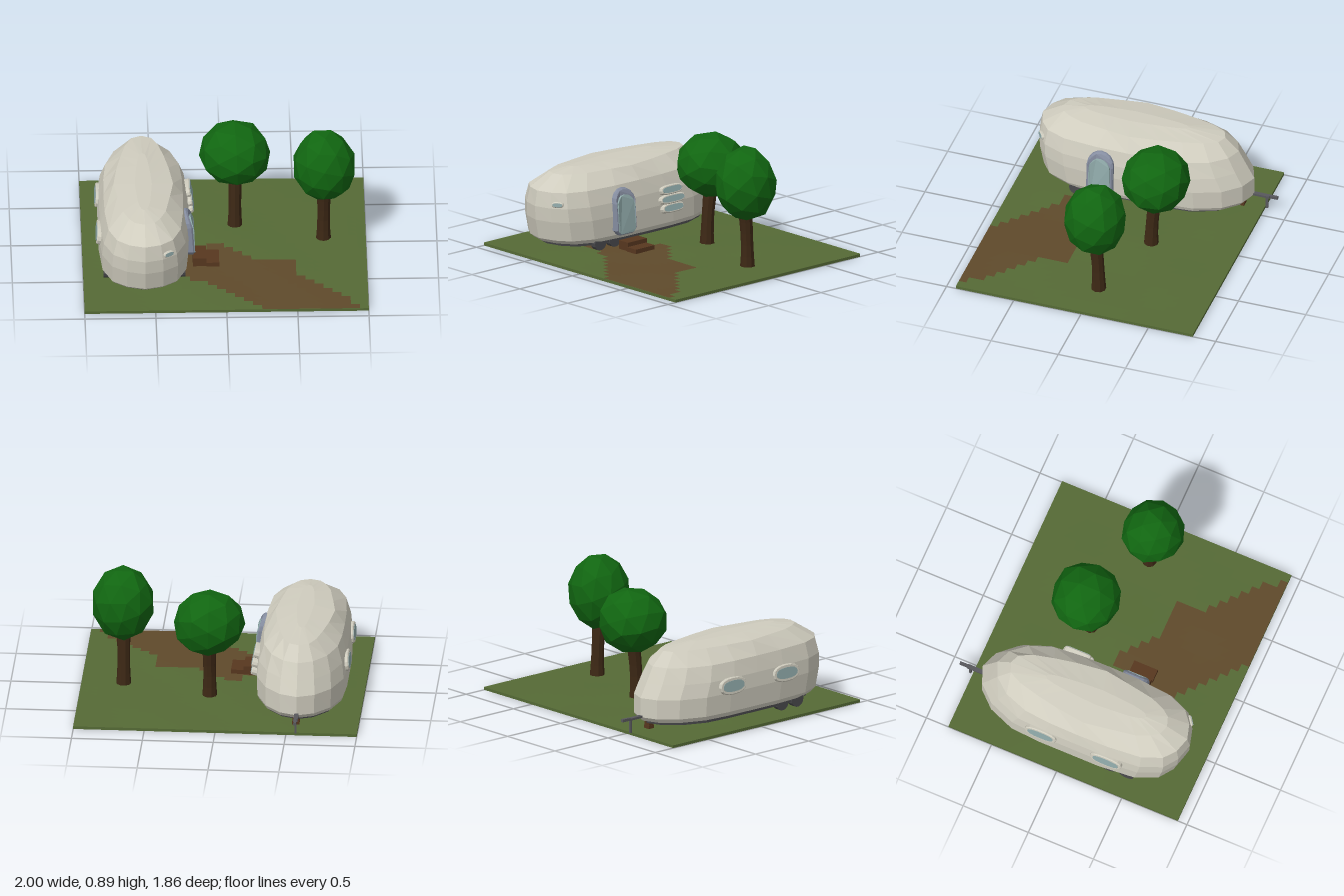
import * as THREE from 'three';
import { mergeVertices } from 'three/addons/utils/BufferGeometryUtils.js';

const mat = (color) => new THREE.MeshStandardMaterial({ color, flatShading: true, roughness: 0.9 });
const M = {
  grass: mat(0x556a35), path: mat(0x5f4a2b), leaf: mat(0x116611), bark: mat(0x3d2815), shell: mat(0xcfccbe),
  dark: mat(0x58585c), tyre: mat(0x4a4a4d), wood: mat(0x57371f), door: mat(0x858da0), glass: mat(0x8fa9a9),
};
const CX = -0.57; // centre line of the caravan

function add(parent, name, geo, material, x = 0, y = 0, z = 0) {
  const m = new THREE.Mesh(geo, material);
  m.name = name;
  m.position.set(x, y, z);
  parent.add(m);
  return m;
}
const box = (parent, name, material, w, h, d, x, y, z) => add(parent, name, new THREE.BoxGeometry(w, h, d), material, x, y, z);

function meshFrom(pos, idx) {
  const g = new THREE.BufferGeometry();
  g.setAttribute('position', new THREE.Float32BufferAttribute(pos, 3));
  if (idx) g.setIndex(idx);
  g.computeVertexNormals();
  return g;
}

// Half plan outlines, front to back: full sides and tapered roof
const FULL = [[0, 1], [0.4, 0.955], [0.72, 0.86], [0.93, 0.66], [1, 0.32], [1, 0], [1, -0.28], [0.95, -0.55], [0.72, -0.79], [0.38, -0.94], [0, -1]];
const TAPER = [[0, 1], [0.33, 0.96], [0.52, 0.87], [0.72, 0.7], [0.88, 0.36], [1, 0.08], [0.87, -0.28], [0.72, -0.55], [0.55, -0.79], [0.33, -0.95], [0, -1]];

// Stacks plan rings [y, front z, back z, half width, taper] and caps both ends
function hull(rings) {
  const pos = [], idx = [], n = 20;
  for (const [y, zf, zb, hw, t] of rings) {
    for (let i = 0; i < n; i++) {
      const k = i <= 10 ? i : n - i, s = i <= 10 ? 1 : -1;
      const u = THREE.MathUtils.lerp(FULL[k][0], TAPER[k][0], t);
      const v = THREE.MathUtils.lerp(FULL[k][1], TAPER[k][1], t);
      pos.push(CX + s * u * hw, y, (zf + zb) / 2 + v * (zf - zb) / 2);
    }
  }
  const last = (rings.length - 1) * n, c = rings.length * n;
  for (const r of [rings[0], rings[rings.length - 1]]) pos.push(CX, r[0], (r[1] + r[2]) / 2);
  for (let i = 0; i < n; i++) {
    const j = (i + 1) % n;
    for (let r = 0; r < last; r += n) idx.push(r + i, r + j, r + n + i, r + j, r + n + j, r + n + i);
    idx.push(j, i, c, last + i, last + j, c + 1);
  }
  return meshFrom(pos, idx);
}

// Rounded outline: power 2 is an ellipse, higher is boxier
function oval(hw, hh, power = 2, n = 16) {
  const f = (c) => Math.sign(c) * Math.abs(c) ** (2 / power);
  return new THREE.Shape(Array.from({ length: n }, (_, i) => {
    const a = (i / n) * Math.PI * 2;
    return new THREE.Vector2(hw * f(Math.cos(a)), hh * f(Math.sin(a)));
  }));
}

// Arched doorway outline with clipped lower corners
function arch(hw, y0, y1, c) {
  const pts = [[-hw + c, y0], [hw - c, y0], [hw, y0 + c]].map((p) => new THREE.Vector2(...p));
  for (let i = 0; i <= 8; i++) {
    const a = (i / 8) * Math.PI;
    pts.push(new THREE.Vector2(hw * Math.cos(a), y1 - hw + hw * Math.sin(a)));
  }
  pts.push(new THREE.Vector2(-hw, y0 + c));
  return new THREE.Shape(pts);
}

// Slab whose outer face lies near z = 0
function slab(shape, depth, bevel) {
  const g = new THREE.ExtrudeGeometry(shape, { depth, bevelEnabled: bevel > 0, bevelSize: bevel, bevelThickness: bevel, bevelSegments: 1, curveSegments: 6 });
  return g.translate(0, 0, -depth - bevel);
}

function windowUnit(parent, name, hw, hh, power, rim, depth, pos, yaw, tilt) {
  const g = new THREE.Group();
  g.name = name;
  add(g, 'windowFrame', slab(oval(hw - 0.006, hh - 0.006, power), depth, 0.006), M.shell);
  add(g, 'windowPane', slab(oval(hw - rim, hh - rim, power), 0.008, 0), M.glass, 0, 0, 0.003);
  g.position.set(...pos);
  g.rotation.set(tilt, yaw, 0, 'YXZ');
  parent.add(g);
}

// Gently rolling lawn height, flat at the border
function height(x, z) {
  const edge = Math.max(0, (1 - x * x) * (1 - ((z - 0.05) / 0.88) ** 2));
  return 0.022 + 0.011 * edge * (0.6 + 0.4 * Math.sin(x * 7 + 1) * Math.cos(z * 5));
}

function ground(root) {
  box(root, 'groundSlab', M.grass, 2, 0.02, 1.76, 0, 0.01, 0.05);
  // Path extents per lawn row, in columns, starting at row 16
  const rows = [[14, 16], [14, 17], [9, 18], [9, 19], [9, 24], [9, 24], [9, 24], [9, 24], [12, 25], [14, 26], [15, 27], [16, 28], [17, 29], [18, 30], [19, 30], [20, 31]];
  const lawn = [], path = [];
  for (let r = 0; r < 32; r++) for (let c = 0; c < 32; c++) {
    const span = rows[r - 16], out = span && c >= span[0] && c < span[1] ? path : lawn;
    for (const [a, b] of [[0, 0], [0, 1], [1, 1], [0, 0], [1, 1], [1, 0]]) {
      const x = -1 + (c + a) / 16, z = -0.83 + (r + b) * 0.055;
      out.push(x, height(x, z), z);
    }
  }
  add(root, 'lawn', meshFrom(lawn), M.grass);
  add(root, 'dirtPath', meshFrom(path), M.path);
}

function tree(root, name, trunk, crown, size, seed) {
  const g = new THREE.Group();
  g.name = name;
  // Trunk flares at the foot and leans toward the crown
  const t = new THREE.CylinderGeometry(1, 1, 1, 9, 5), p = t.attributes.position;
  for (let i = 0; i < p.count; i++) {
    const h = p.getY(i) + 0.5, r = 0.04 + 0.014 * (1 - h) ** 3 + 0.012 * h * h;
    p.setXYZ(i, trunk[0] + p.getX(i) * r + (crown[0] - trunk[0]) * h * h, 0.015 + 0.42 * h, trunk[1] + p.getZ(i) * r + (crown[2] - trunk[1]) * h * h);
  }
  add(g, 'trunk', t, M.bark);
  let leaf = new THREE.IcosahedronGeometry(1, 1);
  leaf.deleteAttribute('uv');
  leaf.deleteAttribute('normal');
  leaf = mergeVertices(leaf, 1e-3).rotateY(seed).rotateX(seed * 0.7);
  const q = leaf.attributes.position;
  for (let i = 0; i < q.count; i++) {
    const k = 1 + 0.03 * Math.sin(i * 12.9 + seed * 7);
    q.setXYZ(i, q.getX(i) * k * size[0], q.getY(i) * k * size[1], q.getZ(i) * k * size[2]);
  }
  leaf.computeVertexNormals();
  add(g, 'foliage', leaf, M.leaf, ...crown);
  root.add(g);
}

function caravan(root) {
  const g = new THREE.Group();
  g.name = 'caravan';
  add(g, 'bodyShell', hull([
    [0.09, 0.76, -0.73, 0.305, 0], [0.12, 0.8, -0.755, 0.317, 0], [0.26, 0.83, -0.755, 0.322, 0], [0.36, 0.835, -0.7, 0.31, 0],
    [0.47, 0.815, -0.64, 0.28, 0.1], [0.565, 0.66, -0.54, 0.21, 1], [0.588, 0.5, -0.27, 0.06, 1],
  ]), M.shell);
  add(g, 'chassis', hull([[0.065, 0.72, -0.69, 0.285, 0], [0.1, 0.74, -0.71, 0.295, 0]]), M.dark);

  // Twin axles
  for (const z of [0.47, 0.33]) {
    for (const s of [-1, 1]) add(g, 'wheel', new THREE.CylinderGeometry(0.055, 0.055, 0.045, 14).rotateZ(Math.PI / 2), M.tyre, CX + s * 0.265, 0.08, z);
    add(g, 'axle', new THREE.CylinderGeometry(0.012, 0.012, 0.5, 8).rotateZ(Math.PI / 2), M.dark, CX, 0.075, z);
  }

  // Tow bar, jack leg and support blocks
  box(g, 'towBar', M.dark, 0.03, 0.016, 0.2, CX, 0.125, -0.77);
  box(g, 'towCoupling', M.dark, 0.02, 0.02, 0.07, CX, 0.127, -0.895);
  box(g, 'jackLeg', M.dark, 0.016, 0.1, 0.016, CX, 0.075, -0.85);
  box(g, 'supportBlock', M.wood, 0.05, 0.025, 0.05, CX + 0.01, 0.035, -0.665);
  box(g, 'supportBlock', M.wood, 0.045, 0.025, 0.045, CX + 0.01, 0.06, -0.665);

  // Door curves inward with the wall near its top
  const door = new THREE.Group();
  door.name = 'door';
  for (const [name, geo, m, z] of [
    ['doorFrame', slab(arch(0.088, 0.132, 0.442, 0.03), 0.07, 0.01), M.door, 0],
    ['doorPane', slab(arch(0.079, 0.132, 0.407, 0.02), 0.02, 0), M.glass, 0.004],
  ]) {
    const p = geo.attributes.position;
    for (let i = 0; i < p.count; i++) p.setZ(i, p.getZ(i) - 1.3 * Math.max(0, p.getY(i) - 0.25) ** 2);
    geo.computeVertexNormals();
    add(door, name, geo, m, 0, 0, z);
  }
  door.position.set(-0.213, 0, 0.28);
  door.rotation.y = Math.PI / 2;
  g.add(door);

  // Louvred window, side windows and small nose window
  for (const [y, hw, x] of [[0.365, 0.1, -0.232], [0.3, 0.115, -0.22], [0.235, 0.1, -0.215]]) {
    windowUnit(g, 'louvreWindow', hw, 0.034, 3, 0.012, 0.04, [x, y, -0.165], Math.PI / 2, -0.25);
  }
  for (const z of [0.33, -0.17]) windowUnit(g, 'sideWindow', 0.12, 0.062, 2.4, 0.022, 0.05, [-0.903, 0.31, z], -Math.PI / 2, -0.12);
  windowUnit(g, 'noseWindow', 0.042, 0.021, 2.6, 0.007, 0.03, [-0.4, 0.39, 0.778], 0.6, -0.1);
  root.add(g);
}

export function createModel() {
  const root = new THREE.Group();
  root.name = 'campsite';
  ground(root);
  caravan(root);
  // Door steps
  box(root, 'upperStep', M.wood, 0.095, 0.07, 0.18, -0.178, 0.055, 0.26);
  box(root, 'lowerStep', M.wood, 0.09, 0.04, 0.18, -0.085, 0.04, 0.268);
  tree(root, 'roundTree', [0.082, -0.21], [0.085, 0.592, -0.243], [0.252, 0.232, 0.25], 0.6);
  tree(root, 'tallTree', [0.702, -0.03], [0.705, 0.63, -0.005], [0.222, 0.27, 0.222], 1.9);
  return root;
}
